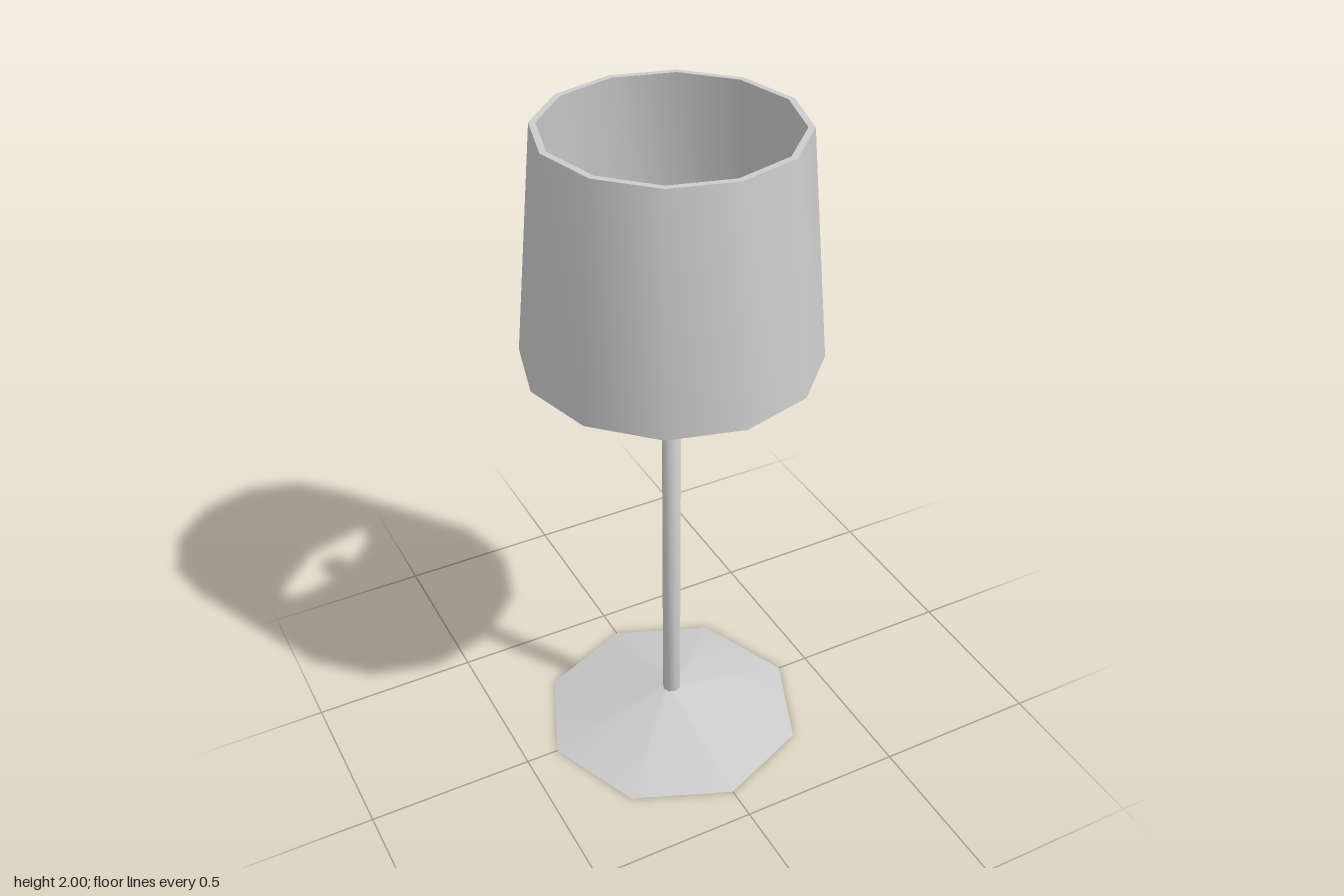
import * as THREE from 'three';
import { toCreasedNormals } from 'three/addons/utils/BufferGeometryUtils.js';

const grey = new THREE.MeshStandardMaterial({ color: 0xcccccc });
const greyThin = new THREE.MeshStandardMaterial({ color: 0xcccccc, side: THREE.DoubleSide });

// Revolved part from [radius, height] pairs; smooth around, sharp at rims
function turned(name, profile, sides, material = grey) {
  const points = profile.map(([r, y]) => new THREE.Vector2(r, y));
  const geometry = toCreasedNormals(new THREE.LatheGeometry(points, sides), Math.PI / 3.5);
  const mesh = new THREE.Mesh(geometry, material);
  mesh.name = name;
  return mesh;
}

export function createModel() {
  const lamp = new THREE.Group();
  lamp.name = 'tableLamp';

  // Hollow eight-sided foot, a thin sheet open underneath
  lamp.add(turned('base', [[0.4, 0], [0.026, 0.1]], 8, greyThin));

  // Pole with a narrower upper section, ending inside the shade
  lamp.add(turned('pole', [
    [0.028, 0.095], [0.028, 1.17], [0.023, 1.175], [0.023, 1.56], [0, 1.56],
  ], 8));

  // Square bulb holder with a chamfered top
  const block = (name, top, bottom, height, y) => {
    const geometry = new THREE.CylinderGeometry(top * Math.SQRT2, bottom * Math.SQRT2, height, 4);
    geometry.rotateY(Math.PI / 4);
    const mesh = new THREE.Mesh(toCreasedNormals(geometry, 0.5), grey);
    mesh.name = name;
    mesh.position.y = y + height / 2;
    lamp.add(mesh);
  };
  block('bulbHolder', 0.035, 0.035, 0.12, 1.56);
  block('bulbHolderTop', 0.02, 0.035, 0.02, 1.68);

  // Tapered twelve-sided shade with a wall thickness, open at both ends
  lamp.add(turned('shade', [
    [0.415, 1.34], [0.355, 2], [0.337, 2], [0.392, 1.34], [0.415, 1.34],
  ], 12));

  return lamp;
}
